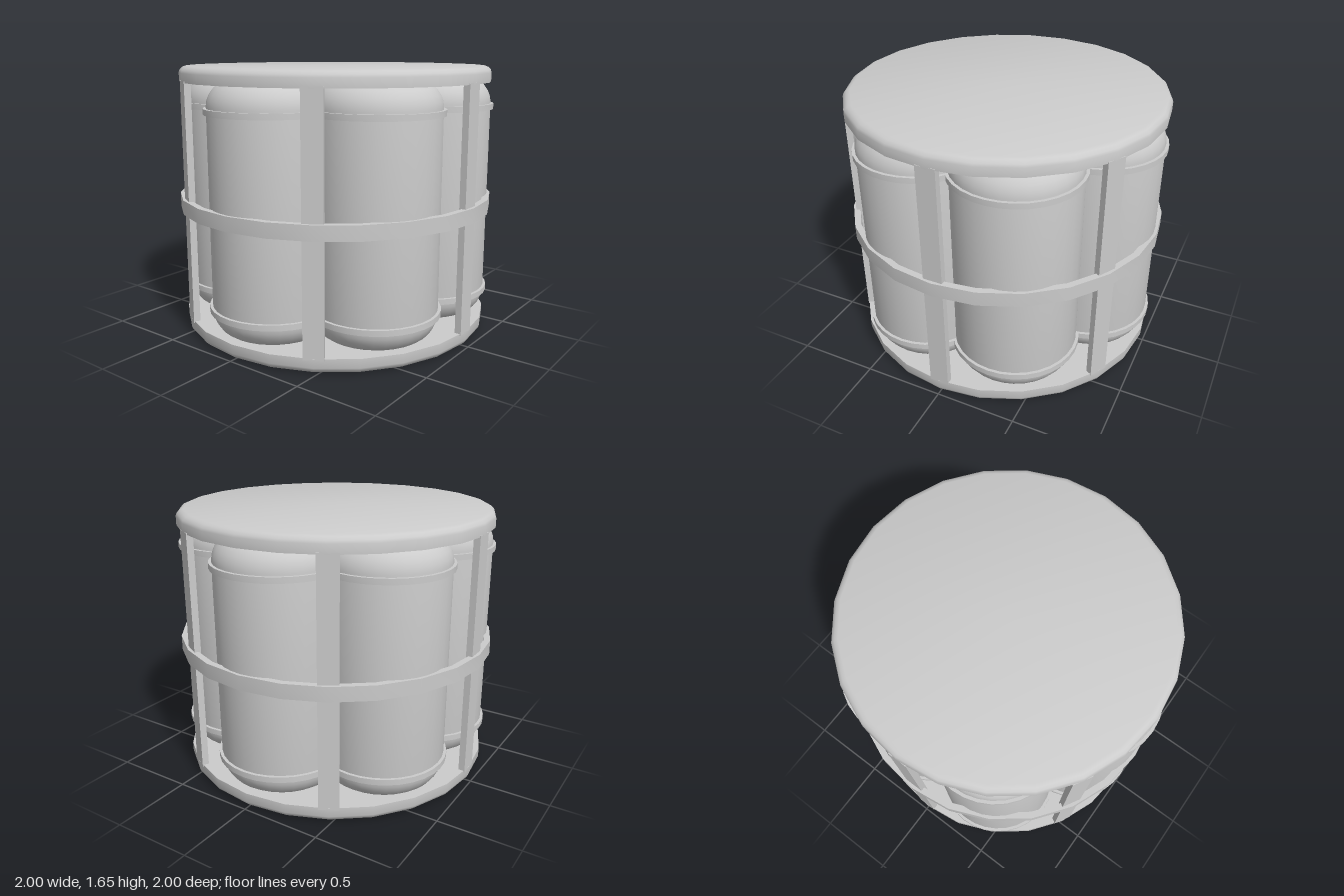
import * as THREE from 'three';
import { toCreasedNormals } from 'three/addons/utils/BufferGeometryUtils.js';

const SIDES = 24;
const HEIGHT = 1.655;
const PLATE = 0.095;

export function createModel() {
  const model = new THREE.Group();
  model.name = 'canisterRack';
  const material = new THREE.MeshStandardMaterial({ color: 0xcccccc });

  const lathe = (points, sides = SIDES) => toCreasedNormals(
    new THREE.LatheGeometry(points.map(([r, y]) => new THREE.Vector2(r, y)), sides), 0.75);

  // closed hoop of rectangular section
  const hoop = (inner, outer, y0, y1, sides) => lathe(
    [[inner, y0], [outer, y0], [outer, y1], [inner, y1], [inner, y0]], sides);

  const add = (parent, name, geometry) => {
    const mesh = new THREE.Mesh(geometry, material);
    mesh.name = name;
    parent.add(mesh);
    return mesh;
  };

  // end plates, rounded on their outer rim
  const plate = lathe([[0, 0], [0.935, 0], [0.957, 0.008], [0.974, 0.024],
    [0.98, 0.04], [0.98, PLATE], [0, PLATE]]);
  add(model, 'bottomPlate', plate);
  const top = add(model, 'topPlate', plate);
  top.rotation.x = Math.PI;
  top.position.y = HEIGHT;

  // band around the middle of the frame
  add(model, 'middleBand', hoop(0.96, 1.0, 0.765, 0.855));

  // canister profile: lower half mirrored to the upper half
  const half = [[0, 0.06], [0.22, 0.06], [0.3, 0.09], [0.335, 0.115],
    [0.36, 0.15], [0.375, 0.185], [0.38, 0.22]];
  const mirrored = half.map(([r, y]) => [r, HEIGHT - y]).reverse();
  const body = lathe([...half, ...mirrored], 32);
  const lowerRing = hoop(0.36, 0.398, 0.215, 0.25, 32);
  const upperRing = hoop(0.36, 0.398, HEIGHT - 0.265, HEIGHT - 0.23, 32);
  const post = new THREE.BoxGeometry(0.12, HEIGHT - 2 * PLATE + 0.02, 0.04);

  // six canisters, with a flat post between each pair
  for (let i = 0; i < 6; i++) {
    const angle = i * Math.PI / 3;
    const canister = new THREE.Group();
    canister.name = 'canister' + (i + 1);
    canister.position.set(0.6 * Math.sin(angle), 0, 0.6 * Math.cos(angle));
    add(canister, 'canisterBody', body);
    add(canister, 'lowerRing', lowerRing);
    add(canister, 'upperRing', upperRing);
    model.add(canister);

    const a = angle + Math.PI / 6;
    const bar = add(model, 'post' + (i + 1), post);
    bar.position.set(0.958 * Math.sin(a), HEIGHT / 2, 0.958 * Math.cos(a));
    bar.rotation.y = a;
  }

  return model;
}
